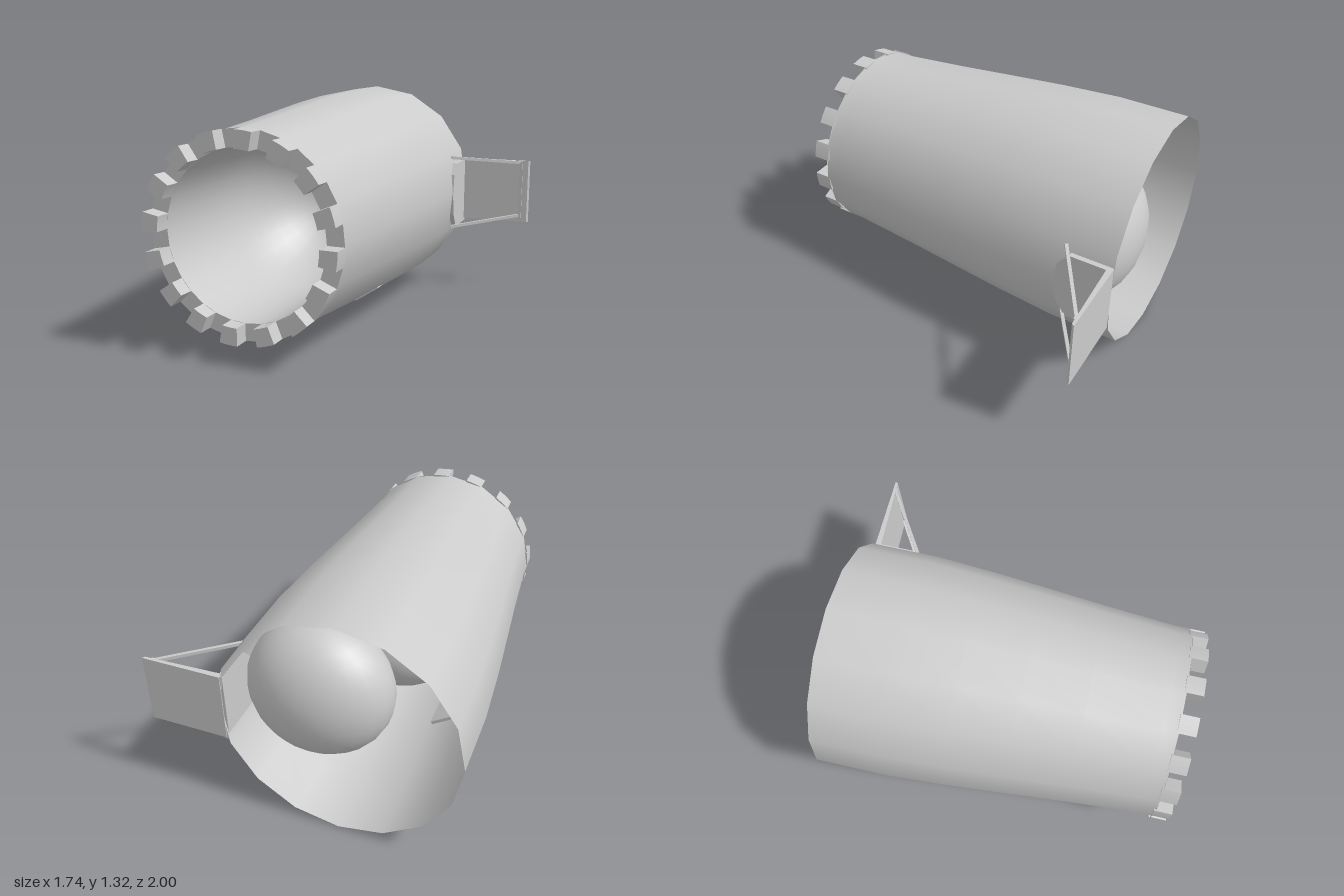
import * as THREE from 'three';

const CX = -0.21, CY = 0.665;   // axis of the hull, running along z
const mat = new THREE.MeshStandardMaterial({ color: 0xcccccc, side: THREE.DoubleSide });

// Revolve [radius, z] pairs about the hull axis
function revolve(name, profile, sides) {
  const g = new THREE.LatheGeometry(profile.map(p => new THREE.Vector2(p[0], p[1])), sides);
  g.rotateX(Math.PI / 2);
  g.translate(CX, CY, 0);
  const mesh = new THREE.Mesh(g, mat);
  mesh.name = name;
  return mesh;
}

function box(name, w, h, d, x, y, z) {
  const mesh = new THREE.Mesh(new THREE.BoxGeometry(w, h, d), mat);
  mesh.name = name;
  mesh.position.set(x, y, z);
  return mesh;
}

// Thin square bar between two points
function bar(name, a, b, t) {
  const from = new THREE.Vector3(...a), to = new THREE.Vector3(...b);
  const mesh = box(name, t, t, from.distanceTo(to), 0, 0, 0);
  mesh.position.copy(from).add(to).multiplyScalar(0.5);
  mesh.lookAt(to);
  return mesh;
}

export function createModel() {
  const model = new THREE.Group();

  // Tapered outer shell, slightly flattened on the door side
  const shell = revolve('shell', [
    [0.55, 0.91], [0.55, 0.82], [0.58, 0.42], [0.61, 0.08],
    [0.638, -0.25], [0.66, -0.6], [0.66, -1],
  ], 16);
  const pos = shell.geometry.attributes.position;
  for (let i = 0; i < pos.count; i++) {
    pos.setX(i, Math.min(pos.getX(i), 0.435));
  }
  model.add(shell);

  // Front lip between the shell and the inner bowl
  model.add(revolve('frontLip', [[0.455, 0.91], [0.55, 0.91]], 32));

  // Deep inner bowl, open to the front
  const bowl = [[0.455, 0.91], [0.455, 0.6]];
  for (let i = 0; i <= 10; i++) {
    const a = i / 10 * Math.PI / 2;
    bowl.push([0.455 * Math.cos(a), 0.3 - 0.65 * Math.sin(a)]);
  }
  model.add(revolve('innerBowl', bowl, 32));

  // Ring of teeth round the front mouth
  const teeth = new THREE.Group();
  teeth.name = 'teeth';
  for (let i = 0; i < 16; i++) {
    const mid = Math.PI / 2 - 0.1 + i * Math.PI / 8, half = 0.092;
    const s = new THREE.Shape();
    s.absarc(0, 0, 0.55, mid - half, mid + half, false);
    s.absarc(0, 0, 0.455, mid + half, mid - half, true);
    const g = new THREE.ExtrudeGeometry(s, { depth: 0.1, bevelEnabled: false, curveSegments: 2 });
    const tooth = new THREE.Mesh(g, mat);
    tooth.name = 'tooth';
    tooth.position.set(CX, CY, 0.9);
    teeth.add(tooth);
  }
  model.add(teeth);

  // Rounded chamber inside the rear opening, against the door side
  const chamber = new THREE.Mesh(new THREE.SphereGeometry(1, 24, 16), mat);
  chamber.name = 'rearChamber';
  chamber.scale.set(0.41, 0.4, 0.3);
  chamber.position.set(0.0, 0.69, -0.69);
  model.add(chamber);

  // Small vents low on both flanks
  for (const s of [-1, 1]) {
    const a = -Math.PI / 2 + s * Math.PI * 3 / 16;
    const vent = box('vent', 0.02, 0.17, 0.23,
      CX + 0.597 * Math.cos(a), CY + 0.597 * Math.sin(a), -0.05);
    vent.rotation.z = a;
    model.add(vent);
  }

  // Doorway surround on the left flank
  const outline = [[0.99, -0.22], [0.76, -0.22], [0.70, -0.13], [0.68, 0],
    [0.70, 0.13], [0.76, 0.2], [0.99, 0.2]];
  const door = new THREE.Shape(outline.map(p => new THREE.Vector2(p[0], p[1])));
  const doorway = new THREE.Mesh(
    new THREE.ExtrudeGeometry(door, { depth: 0.03, bevelEnabled: false }), mat);
  doorway.name = 'doorway';
  doorway.rotation.y = Math.PI / 2;
  doorway.position.set(0.408, 0.65, 0);
  model.add(doorway);

  // Door panel swung out flush with the rear: a thin wedge seen from above
  const wedge = new THREE.Shape([[0.42, 1], [0.87, 1], [0.86, 0.985], [0.43, 0.968]]
    .map(p => new THREE.Vector2(p[0], p[1])));
  const panel = new THREE.Mesh(
    new THREE.ExtrudeGeometry(wedge, { depth: 0.41, bevelEnabled: false }), mat);
  panel.name = 'doorPanel';
  panel.rotation.x = -Math.PI / 2;
  panel.scale.y = 1;
  panel.position.set(0, 0.447, 0);
  panel.geometry.scale(1, 1, 1);
  model.add(panel);

  // Struts and post that hold the door
  model.add(bar('upperStrut', [0.41, 0.89, -0.73], [0.81, 0.845, -0.985], 0.018));
  model.add(bar('lowerStrut', [0.41, 0.43, -0.73], [0.81, 0.49, -0.985], 0.018));
  model.add(box('doorPost', 0.02, 0.4, 0.02, 0.815, 0.655, -0.985));

  return model;
}
